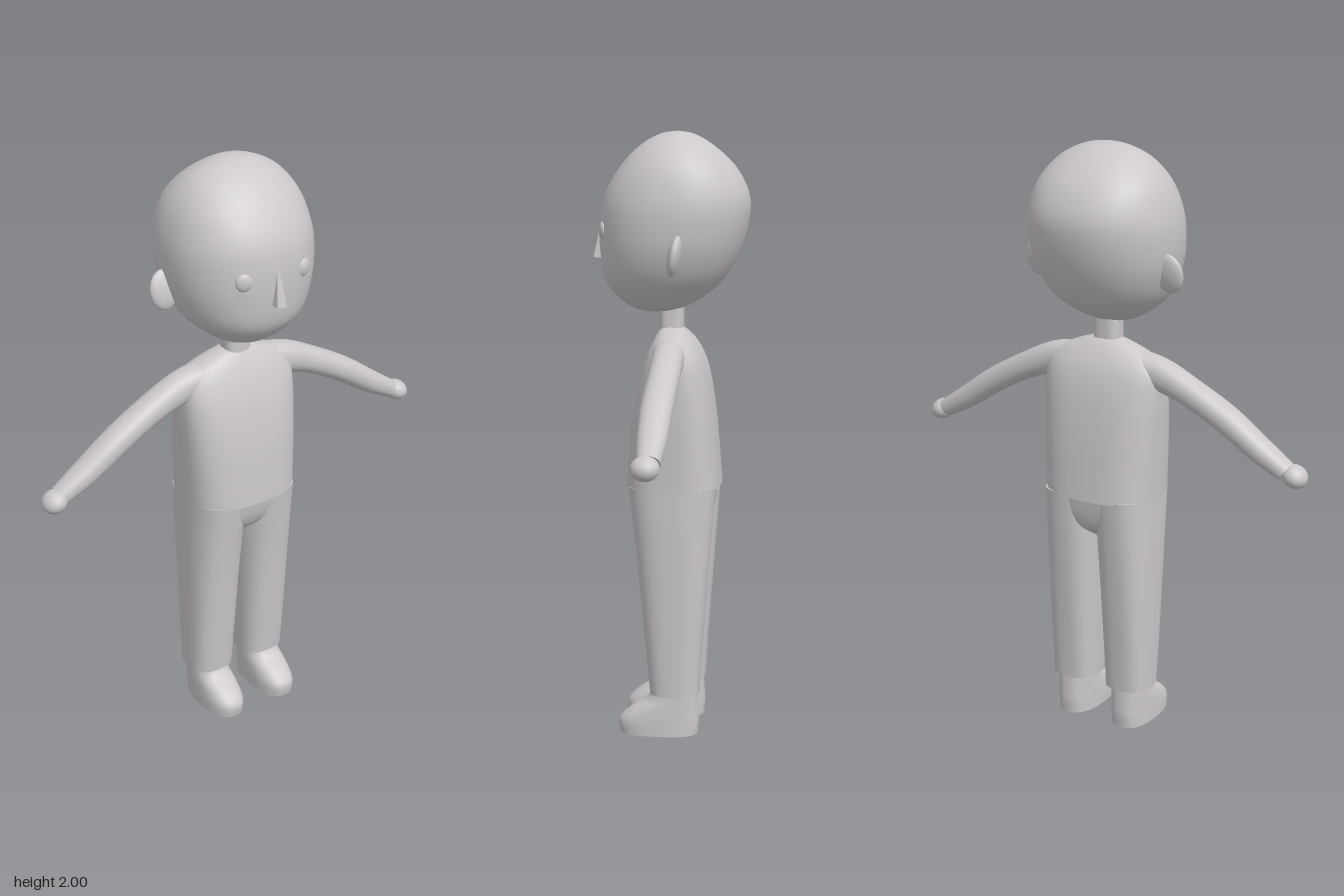
import * as THREE from 'three';

const SIDES = 40;
const RAD = Math.PI / 180;

// Smooth skin through cross-sections, lowest first.
// Row: [x, y, tilt in degrees, half-width, front z, back z, squareness]
function loft(rows, steps = 5) {
  const at = (t, k) => {
    const i = Math.min(Math.floor(t), rows.length - 2), f = t - i;
    const p = rows[Math.max(i - 1, 0)][k], a = rows[i][k];
    const b = rows[i + 1][k], q = rows[Math.min(i + 2, rows.length - 1)][k];
    return a + 0.5 * f * (b - p + f * (2 * p - 5 * a + 4 * b - q + f * (3 * (a - b) + q - p)));
  };
  const pos = [], index = [], count = (rows.length - 1) * steps;
  const ring = (t) => {
    const [x, y, tilt, w, zf, zb, e] = [0, 1, 2, 3, 4, 5, 6].map((k) => at(t, k));
    const mid = (zf + zb) / 2, depth = (zf - zb) / 2;
    for (let j = 0; j < SIDES; j++) {
      const a = (j / SIDES) * Math.PI * 2, c = Math.cos(a), s = Math.sin(a);
      const u = Math.sign(c) * Math.abs(c) ** (2 / e) * w;
      const v = Math.sign(s) * Math.abs(s) ** (2 / e) * depth;
      pos.push(x + u * Math.cos(tilt * RAD), y + u * Math.sin(tilt * RAD), mid + v);
    }
  };
  for (let i = 0; i <= count; i++) ring(i / steps);
  for (let i = 0; i < count; i++) {
    for (let j = 0; j < SIDES; j++) {
      const a = i * SIDES + j, b = i * SIDES + (j + 1) % SIDES;
      index.push(a, a + SIDES, b, b, a + SIDES, b + SIDES);
    }
  }
  // flat end caps with their own vertices
  for (const end of [0, rows.length - 1]) {
    const base = pos.length / 3;
    ring(end);
    for (let j = 1; j < SIDES - 1; j++) {
      if (end === 0) index.push(base, base + j, base + j + 1);
      else index.push(base, base + j + 1, base + j);
    }
  }
  const geo = new THREE.BufferGeometry();
  geo.setAttribute('position', new THREE.Float32BufferAttribute(pos, 3));
  geo.setIndex(index);
  geo.computeVertexNormals();
  return geo;
}

const mirrored = (rows, s) => rows.map(([x, y, tilt, ...rest]) => [s * x, y, s * tilt, ...rest]);

export function createModel() {
  const model = new THREE.Group();
  const grey = new THREE.MeshStandardMaterial({ color: 0xcbc7cb });
  grey.name = 'palePlaster';

  const add = (name, geo, position = [0, 0, 0], rotation = [0, 0, 0]) => {
    const mesh = new THREE.Mesh(geo, grey);
    mesh.name = name;
    mesh.position.set(...position);
    mesh.rotation.set(...rotation);
    model.add(mesh);
    return mesh;
  };
  const ellipsoid = (x, y, z) => new THREE.SphereGeometry(1, 28, 20).scale(x, y, z);

  // Head: flat-fronted egg, fuller at the upper back
  add('head', loft([
    [0, 1.41, 0, 0.002, 0.052, 0.048, 2],
    [0, 1.418, 0, 0.07, 0.115, -0.02, 2],
    [0, 1.45, 0, 0.13, 0.168, -0.09, 2.1],
    [0, 1.51, 0, 0.195, 0.217, -0.165, 2.2],
    [0, 1.6, 0, 0.236, 0.234, -0.22, 2.2],
    [0, 1.7, 0, 0.25, 0.237, -0.252, 2.2],
    [0, 1.79, 0, 0.243, 0.222, -0.256, 2.2],
    [0, 1.88, 0, 0.213, 0.172, -0.214, 2.2],
    [0, 1.95, 0, 0.155, 0.108, -0.142, 2.1],
    [0, 1.99, 0, 0.075, 0.04, -0.075, 2],
    [0, 2.0, 0, 0.002, -0.016, -0.02, 2],
  ]));
  add('neck', loft([
    [0, 1.33, 0, 0.046, 0.04, -0.04, 3],
    [0, 1.45, 0, 0.044, 0.04, -0.04, 3],
  ], 2));

  // Nose: small four-sided wedge
  add('nose', loft([
    [0, 1.588, 0, 0.019, 0.262, 0.2, 8],
    [0, 1.7, 0, 0.006, 0.238, 0.2, 8],
  ], 1));

  // Shirt body with sloping shoulders and a hem over the trousers
  add('shirt', loft([
    [0, 0.832, 0, 0.197, 0.146, -0.167, 2.9],
    [0, 0.9, 0, 0.2, 0.142, -0.162, 2.9],
    [0, 1.05, 0, 0.207, 0.13, -0.149, 2.9],
    [0, 1.18, 0, 0.213, 0.108, -0.13, 2.8],
    [0, 1.26, 0, 0.212, 0.083, -0.108, 2.6],
    [0, 1.31, 0, 0.178, 0.062, -0.082, 2.4],
    [0, 1.345, 0, 0.1, 0.043, -0.055, 2.3],
    [0, 1.362, 0, 0.035, 0.032, -0.036, 2.2],
  ]));

  // Trouser seat bridging the two legs
  add('trouserSeat', loft([
    [0, 0.68, 0, 0.03, 0.04, -0.07, 2],
    [0, 0.72, 0, 0.11, 0.092, -0.125, 2.4],
    [0, 0.77, 0, 0.175, 0.118, -0.145, 2.8],
    [0, 0.845, 0, 0.193, 0.133, -0.156, 2.9],
  ]));

  for (const [side, s] of [['left', 1], ['right', -1]]) {
    add(side + 'Sleeve', loft(mirrored([
      [0.08, 1.28, -95, 0.055, 0.055, -0.07, 2.2],
      [0.2, 1.262, -105, 0.054, 0.044, -0.062, 2.2],
      [0.32, 1.215, -115, 0.046, 0.042, -0.06, 2.2],
      [0.45, 1.145, -119, 0.044, 0.046, -0.057, 2.2],
      [0.57, 1.065, -123, 0.04, 0.041, -0.053, 2.2],
      [0.665, 1.008, -123, 0.032, 0.03, -0.044, 2.2],
    ], s)));
    add(side + 'Hand', ellipsoid(0.043, 0.036, 0.045), [s * 0.69, 0.998, 0], [0, 0, -s * 0.5]);

    add(side + 'TrouserLeg', loft(mirrored([
      [0.106, 0.14, 0, 0.079, 0.06, -0.105, 2.8],
      [0.105, 0.3, 0, 0.084, 0.075, -0.115, 2.8],
      [0.103, 0.5, 0, 0.09, 0.094, -0.13, 2.7],
      [0.1, 0.68, 0, 0.096, 0.113, -0.144, 2.6],
      [0.098, 0.84, 0, 0.098, 0.132, -0.156, 2.6],
    ], s)));
    add(side + 'Shoe', loft(mirrored([
      [0.108, 0, 0, 0.068, 0.161, -0.1, 2.5],
      [0.108, 0.045, 0, 0.068, 0.165, -0.104, 2.5],
      [0.108, 0.085, 0, 0.066, 0.125, -0.102, 2.5],
      [0.108, 0.12, 0, 0.063, 0.07, -0.099, 2.5],
      [0.108, 0.16, 0, 0.061, 0.045, -0.096, 2.5],
    ], s)));

    // Ears and faintly raised eyes
    add(side + 'Ear', ellipsoid(0.052, 0.066, 0.021), [s * 0.244, 1.602, -0.035], [-0.2, 0, 0]);
    add(side + 'Eye', ellipsoid(0.028, 0.03, 0.013), [s * 0.112, 1.68, 0.213], [0, s * 0.3, 0]);
  }
  return model;
}
